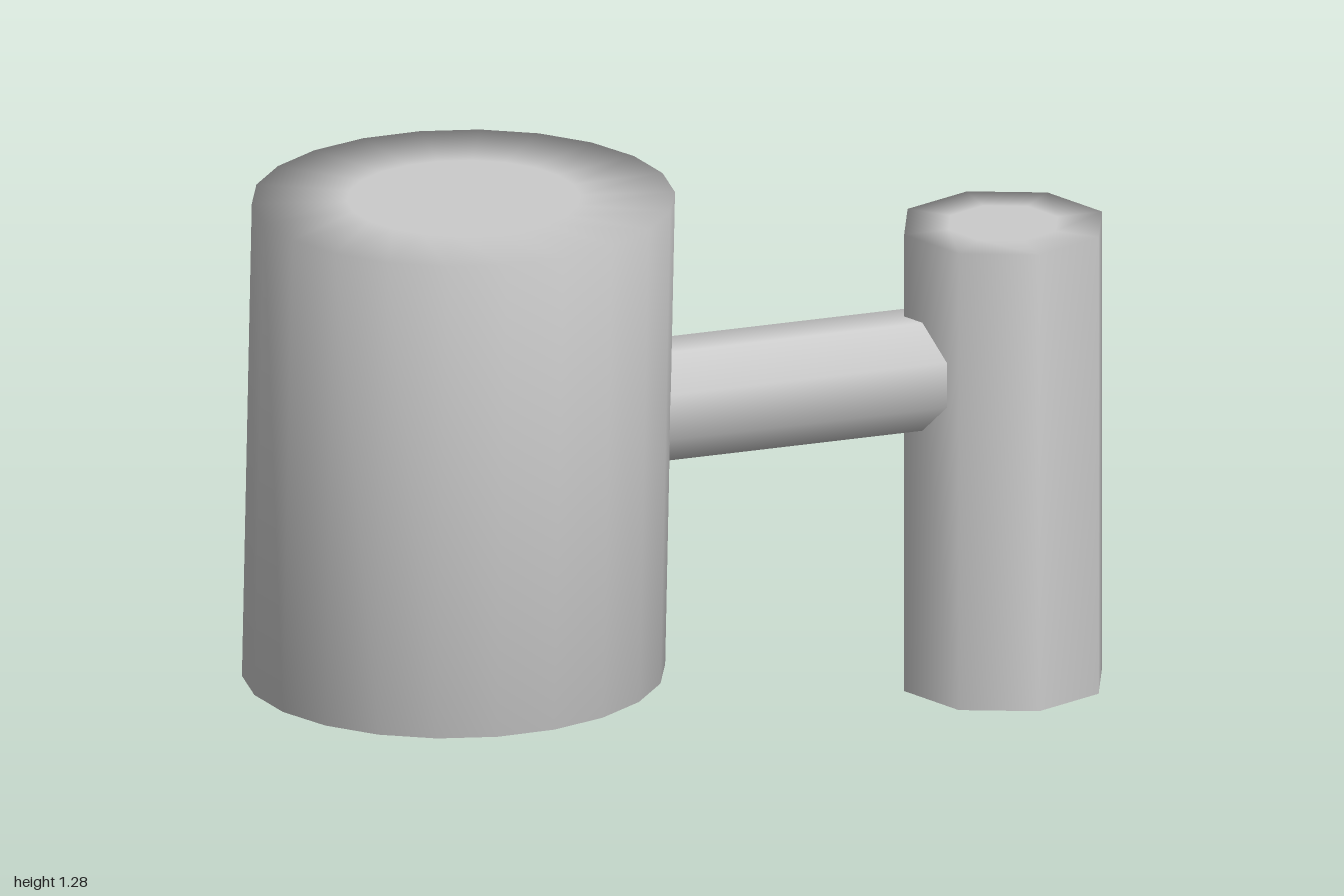
import * as THREE from 'three';

const material = new THREE.MeshStandardMaterial({ color: 0xcccccc });

function part(name, geometry, parent) {
  const mesh = new THREE.Mesh(geometry, material);
  mesh.name = name;
  parent.add(mesh);
  return mesh;
}

// Upright drum whose wall shades smoothly into its flat caps
function drum(radius, height, sides, phase, closedBottom) {
  const inner = radius * 0.55;
  const profile = [[radius, 0], [radius, height], [inner, height], [0, height]];
  if (closedBottom) profile.unshift([0, 0], [inner, 0]);
  const points = profile.map(([x, y]) => new THREE.Vector2(x, y));
  return new THREE.LatheGeometry(points, sides, phase);
}

export function createModel() {
  const model = new THREE.Group();
  model.name = 'twoDrums';

  // Large drum, leaning very slightly toward +x
  const large = drum(0.471, 1.104, 22, Math.PI / 2, true);
  const lean = new THREE.Matrix4().set(
    1, 0.021, 0, 0,
    0.008, 1, 0, 0,
    0, 0, 1, 0,
    0, 0, 0, 1
  );
  large.applyMatrix4(lean);
  part('largeDrum', large, model).position.set(-0.529, 0.169, 0);

  // Slim eight-sided post with a crisp flat base
  const post = new THREE.Group();
  post.name = 'post';
  post.position.set(0.766, 0, 0.012);
  model.add(post);
  part('postBody', drum(0.234, 1.07, 8, 0, false), post);
  part('postBase', new THREE.CircleGeometry(0.234, 8).rotateX(Math.PI / 2), post);

  // Connecting rod, with both ends buried in the drums
  const rod = new THREE.CylinderGeometry(0.137, 0.137, 1.05, 8);
  rod.rotateY(Math.PI / 8).rotateZ(Math.PI / 2);
  part('connectingRod', rod, model).position.set(0.2, 0.752, 0.015);

  return model;
}
